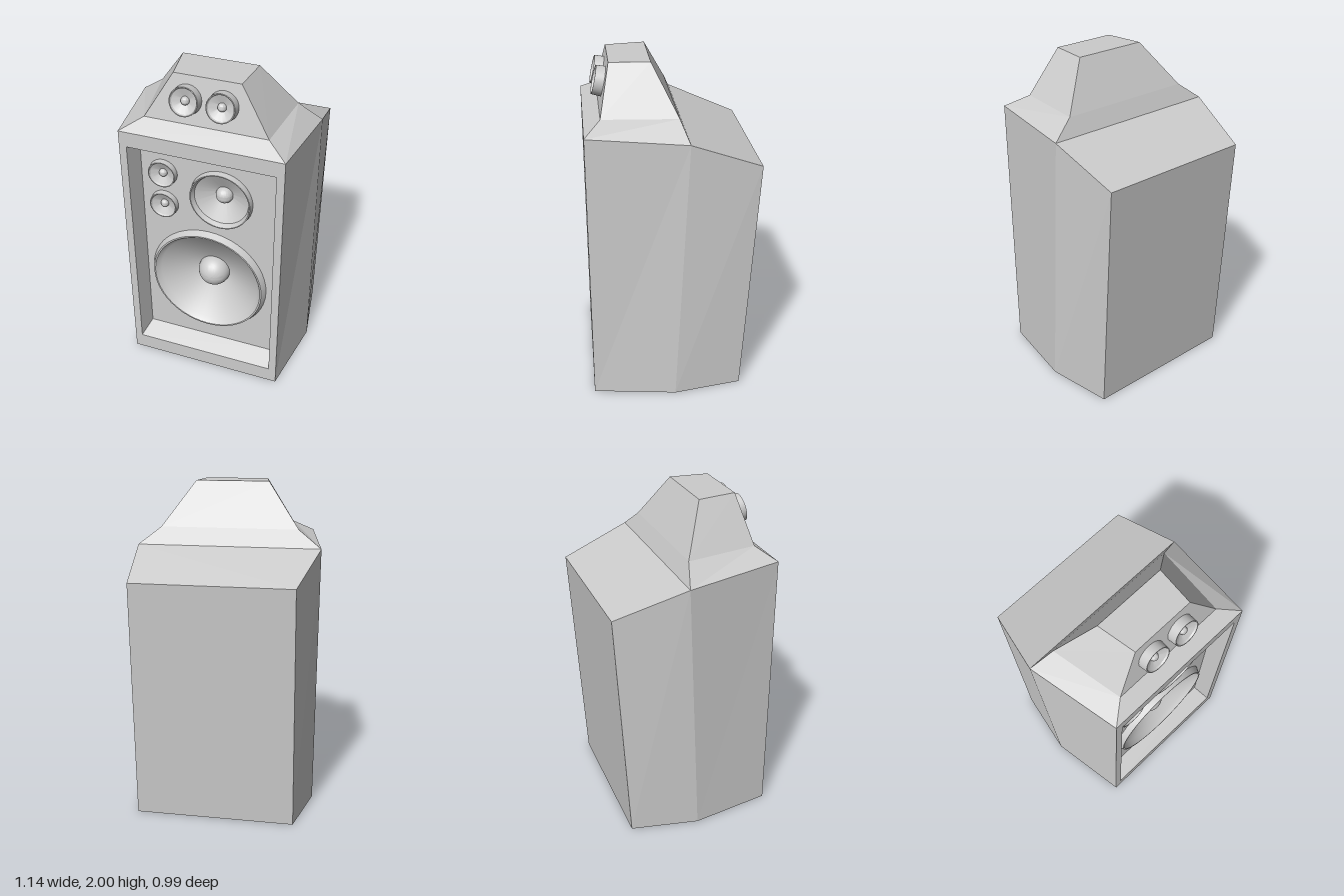
import * as THREE from 'three';
import { toCreasedNormals } from 'three/addons/utils/BufferGeometryUtils.js';

const material = new THREE.MeshStandardMaterial({ color: 0xcccccc });

function addMesh(parent, name, geometry) {
  const mesh = new THREE.Mesh(geometry, material);
  mesh.name = name;
  parent.add(mesh);
  return mesh;
}

// Flat faceted geometry from convex polygons, corners counter-clockwise from outside
function faceted(polygons) {
  const pos = [];
  for (const p of polygons) {
    for (let i = 1; i < p.length - 1; i++) pos.push(...p[0], ...p[i], ...p[i + 1]);
  }
  const g = new THREE.BufferGeometry();
  g.setAttribute('position', new THREE.Float32BufferAttribute(pos, 3));
  g.computeVertexNormals();
  return g;
}

// Quads joining two loops of equal length
function band(a, b) {
  return a.map((p, i) => {
    const j = (i + 1) % a.length;
    return [p, a[j], b[j], b[i]];
  });
}

const rect = (x0, x1, y0, y1, z) => [[x0, y0, z], [x1, y0, z], [x1, y1, z], [x0, y1, z]];

// Speaker driver: bevelled rim, cone and dome turned as one profile, facing +z
function driverGeometry({ r, rimR, coneR, domeR, front, lip, back, base }) {
  const pts = [[r, base], [rimR.outer, front], [rimR.inner, front], [coneR, lip], [domeR * 0.98, back]];
  for (let i = 0; i <= 10; i++) {
    const a = (i / 10) * Math.PI / 2;
    pts.push([i === 10 ? 0 : domeR * Math.cos(a), back + domeR * Math.sin(a)]);
  }
  const g = new THREE.LatheGeometry(pts.map(p => new THREE.Vector2(...p)), 48);
  g.rotateX(Math.PI / 2);
  return toCreasedNormals(g, 0.5);
}

export function createModel() {
  const group = new THREE.Group();
  const F = 0.495, panelZ = 0.385;

  // Cabinet: six-sided shell that widens at mid depth, with a leaning back
  const bottom = [[-0.47, 0, F], [0.497, 0, F], [0.567, 0, 0], [0.497, 0, -0.41], [-0.47, 0, -0.41], [-0.55, 0, 0]];
  const top = [[-0.47, 1.665, F], [0.497, 1.665, F], [0.545, 1.625, -0.08],
    [0.497, 1.465, -F], [-0.47, 1.465, -F], [-0.57, 1.625, -0.08]];
  addMesh(group, 'cabinet', faceted([
    ...band(bottom, top).slice(1),
    [...bottom].reverse(),
    [top[2], top[3], top[4], top[5]],
  ]));

  // Front frame and bevelled recess
  const opening = rect(-0.425, 0.45, 0.1, 1.57, F);
  const inner = rect(-0.395, 0.425, 0.155, 1.515, panelZ);
  addMesh(group, 'frontFrame', faceted([
    ...band([bottom[0], bottom[1], top[1], top[0]], opening),
    ...band(opening, inner),
  ]));

  // Head: sloped shoulder and tapered block on top
  const shoulder = [top[0], top[1], top[2], top[5]];
  const headBase = [[-0.35, 1.73, 0.4], [0.375, 1.73, 0.4], [0.41, 1.73, -0.035], [-0.43, 1.73, -0.035]];
  const headTop = [[-0.19, 2, 0.34], [0.2, 2, 0.34], [0.22, 2, 0.105], [-0.23, 2, 0.105]];
  addMesh(group, 'head', faceted([...band(shoulder, headBase), ...band(headBase, headTop), headTop]));

  // Drivers
  const woofer = { x: 0.013, y: 0.635, r: 0.37, rimR: { outer: 0.352, inner: 0.343 }, coneR: 0.315,
    domeR: 0.1, front: 0.04, lip: 0.005, back: -0.1, base: 0 };
  const midrange = { x: 0.098, y: 1.262, r: 0.19, rimR: { outer: 0.184, inner: 0.178 }, coneR: 0.165,
    domeR: 0.052, front: 0.035, lip: 0.005, back: -0.055, base: 0 };
  const tweeter = { r: 0.086, rimR: { outer: 0.083, inner: 0.078 }, coneR: 0.072,
    domeR: 0.025, front: 0.035, lip: 0.025, back: 0.002, base: 0 };

  // Baffle with cut-outs for the two deep drivers
  const baffle = new THREE.Shape(inner.map(([x, y]) => new THREE.Vector2(x, y)));
  for (const d of [woofer, midrange]) {
    baffle.holes.push(new THREE.Path().absarc(d.x, d.y, d.r - 0.002, 0, Math.PI * 2, true));
  }
  addMesh(group, 'baffle', new THREE.ShapeGeometry(baffle, 24)).position.z = panelZ;

  addMesh(group, 'woofer', driverGeometry(woofer)).position.set(woofer.x, woofer.y, panelZ);
  addMesh(group, 'midrange', driverGeometry(midrange)).position.set(midrange.x, midrange.y, panelZ);
  const small = driverGeometry(tweeter);
  for (const y of [1.153, 1.37]) addMesh(group, 'tweeter', small).position.set(-0.257, y, panelZ);

  // Tweeters on the tilted front of the head
  const drum = driverGeometry({ ...tweeter, r: 0.087, front: 0.055, lip: 0.045, back: 0.022, base: -0.01 });
  for (const x of [-0.103, 0.108]) {
    const m = addMesh(group, 'headTweeter', drum);
    m.position.set(x, 1.866, 0.37);
    m.rotation.x = -0.23;
  }

  return group;
}
